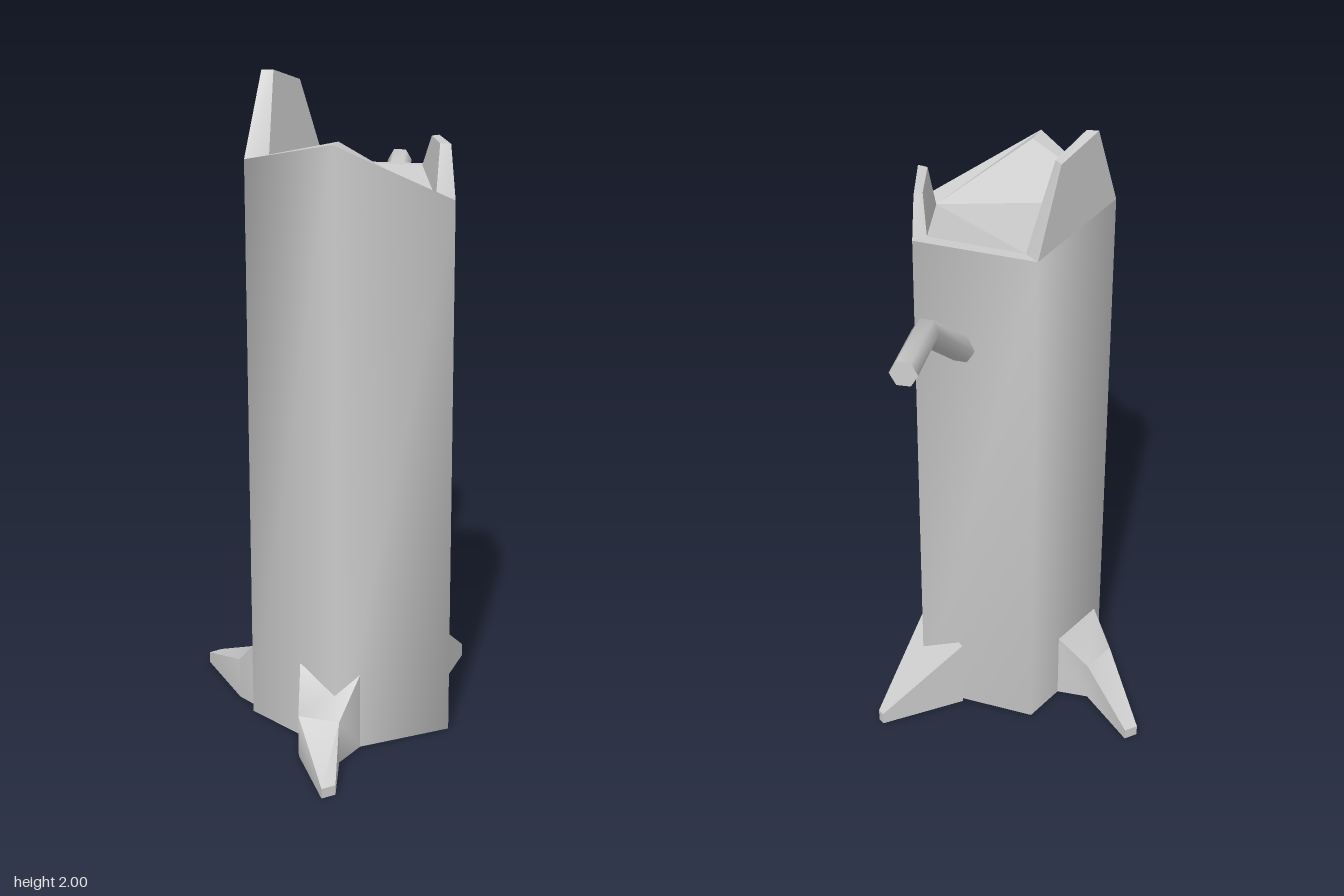
import * as THREE from 'three';
import { mergeGeometries, toCreasedNormals } from 'three/addons/utils/BufferGeometryUtils.js';

const V = (x, y, z) => new THREE.Vector3(x, y, z);

function surface(points, index) {
  const g = new THREE.BufferGeometry().setFromPoints(points);
  g.setIndex(index);
  return g;
}

function flat(points, index) {
  const g = surface(points, index).toNonIndexed();
  g.computeVertexNormals();
  return g;
}

// Skin between rings that run counter-clockwise seen from the end, with flat caps.
function loft(rings, { crease = null, start = true, end = true } = {}) {
  const n = rings[0].length, index = [];
  for (let i = 0; i < rings.length - 1; i++) {
    for (let j = 0; j < n; j++) {
      const a = i * n + j, b = i * n + (j + 1) % n;
      index.push(a, b, b + n, a, b + n, a + n);
    }
  }
  let side = surface(rings.flat(), index);
  side.computeVertexNormals();
  side = side.toNonIndexed();
  if (crease !== null) side = toCreasedNormals(side, crease);
  const fan = [], back = [];
  for (let j = 1; j < n - 1; j++) {
    fan.push(0, j, j + 1);
    back.push(0, j + 1, j);
  }
  const parts = [side];
  if (start) parts.push(flat(rings[0], back));
  if (end) parts.push(flat(rings[rings.length - 1], fan));
  return mergeGeometries(parts);
}

export function createModel() {
  const group = new THREE.Group();
  const wood = new THREE.MeshStandardMaterial({ color: 0xcccccc });
  const add = (name, geometry) => {
    const mesh = new THREE.Mesh(geometry, wood);
    mesh.name = name;
    group.add(mesh);
  };

  // Five-sided trunk with an uneven broken rim: back, left back, left front, front, right
  const outer = [V(-0.01, 1.7, -0.22), V(-0.375, 1.75, -0.1), V(-0.375, 1.83, 0.285),
    V(-0.01, 1.65, 0.405), V(0.215, 1.7, 0.09)];
  const inner = [V(-0.01, 1.7, -0.16), V(-0.315, 1.74, -0.06), V(-0.315, 1.83, 0.245),
    V(-0.025, 1.65, 0.34), V(0.165, 1.7, 0.09)];
  const foot = outer.map((p) => V(p.x, 0, p.z));
  add('trunk', loft([foot, outer], { end: false }));

  // Broken top: rim strips where no splinter stands, then the heartwood
  const top = [];
  for (const j of [1, 2, 4]) {
    const k = (j + 1) % 5;
    top.push(j, k, 5 + k, j, 5 + k, 5 + j);
  }
  top.push(6, 7, 8, 5, 6, 8, 5, 8, 9);
  add('brokenTop', flat([...outer, ...inner], top));

  // Splinters left standing on two edges of the rim
  const splinter = (name, j, k, tips) =>
    add(name, loft([[outer[j], outer[k], inner[k], inner[j]], tips], { crease: 0.4, start: false }));
  splinter('backSplinter', 0, 1, [V(-0.11, 1.96, -0.185), V(-0.28, 2, -0.13),
    V(-0.255, 2, -0.105), V(-0.115, 1.96, -0.15)]);
  splinter('frontSplinter', 3, 4, [V(0.04, 1.8, 0.335), V(0.16, 1.8, 0.167),
    V(0.13, 1.8, 0.165), V(0.025, 1.8, 0.305)]);

  // Roots: each section is [x, z of one side, x, z of the other side, height]
  const root = (name, sections) => add(name, loft(sections.map(([px, pz, qx, qz, h]) =>
    [V(px, 0, pz), V(qx, 0, qz), V(qx, h, qz), V(px, h, pz)]), { crease: 1.2 }));
  root('rightRoot', [[0.14, 0.2, 0.14, -0.035, 0.24], [0.42, 0.045, 0.42, 0.02, 0.04]]);
  root('backRoot', [[-0.145, -0.165, -0.345, -0.1, 0.24], [-0.22, -0.25, -0.34, -0.21, 0.13],
    [-0.2, -0.485, -0.245, -0.49, 0.035]]);
  root('leftRoot', [[-0.375, 0.13, -0.29, 0.31, 0.24], [-0.47, 0.23, -0.41, 0.345, 0.13],
    [-0.595, 0.475, -0.55, 0.485, 0.03]]);

  // Bent six-sided branch
  const path = [V(0.125, 1.365, -0.03), V(0.385, 1.615, -0.25), V(0.56, 1.625, -0.42)];
  const rings = path.map((p, i) => {
    const t = path[Math.min(i + 1, 2)].clone().sub(path[Math.max(i - 1, 0)]).normalize();
    const r = V(0, 1, 0).cross(t).normalize();
    const u = t.clone().cross(r);
    return Array.from({ length: 6 }, (_, k) => {
      const a = k * Math.PI / 3;
      return p.clone().addScaledVector(r, 0.04 * Math.cos(a)).addScaledVector(u, 0.04 * Math.sin(a));
    });
  });
  add('branch', loft(rings));

  return group;
}
